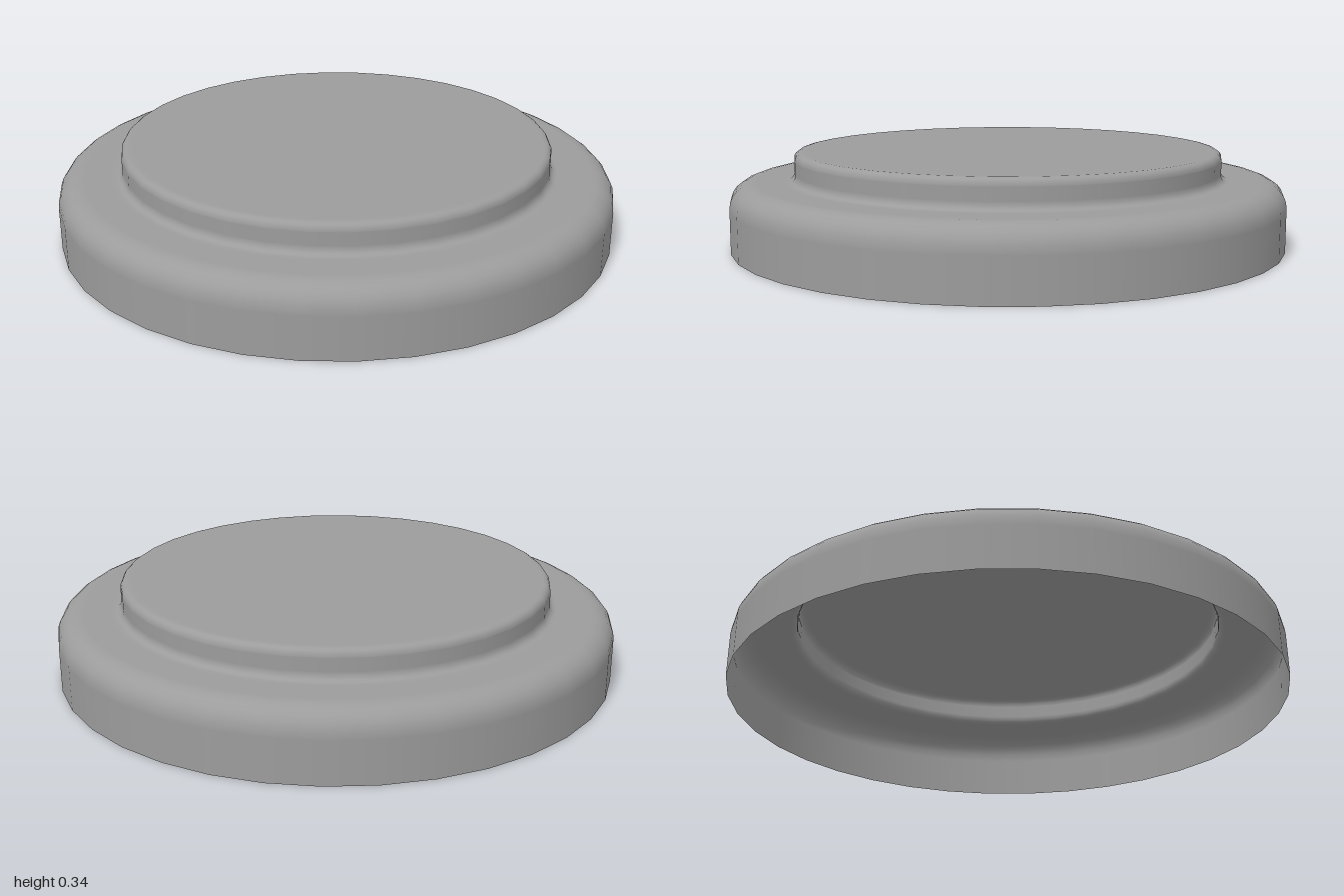
import * as THREE from 'three';

export function createModel() {
  const group = new THREE.Group();
  const material = new THREE.MeshStandardMaterial({ color: 0x9c9c9c, side: THREE.DoubleSide });

  // Points on a quarter-round fillet, angles in degrees
  const profile = [];
  const fillet = (cx, cy, r, from, to, steps) => {
    for (let i = 0; i <= steps; i++) {
      const a = THREE.MathUtils.degToRad(from + ((to - from) * i) / steps);
      profile.push(new THREE.Vector2(cx + r * Math.cos(a), cy + r * Math.sin(a)));
    }
  };
  const point = (x, y) => profile.push(new THREE.Vector2(x, y));

  // Outer wall, rounded rim, step up to the raised disc, flat top
  point(1, 0);
  point(1, 0.15);
  fillet(0.92, 0.16, 0.08, 0, 90, 6);
  point(0.91, 0.24);
  point(0.81, 0.24);
  fillet(0.797, 0.265, 0.025, 270, 180, 4);
  point(0.772, 0.27);
  point(0.772, 0.315);
  fillet(0.747, 0.318, 0.025, 0, 90, 4);
  point(0.735, 0.343);
  point(0, 0.343);

  // Thin shell, open underneath
  const lid = new THREE.Mesh(new THREE.LatheGeometry(profile, 36), material);
  lid.name = 'steppedLid';
  group.add(lid);
  return group;
}
